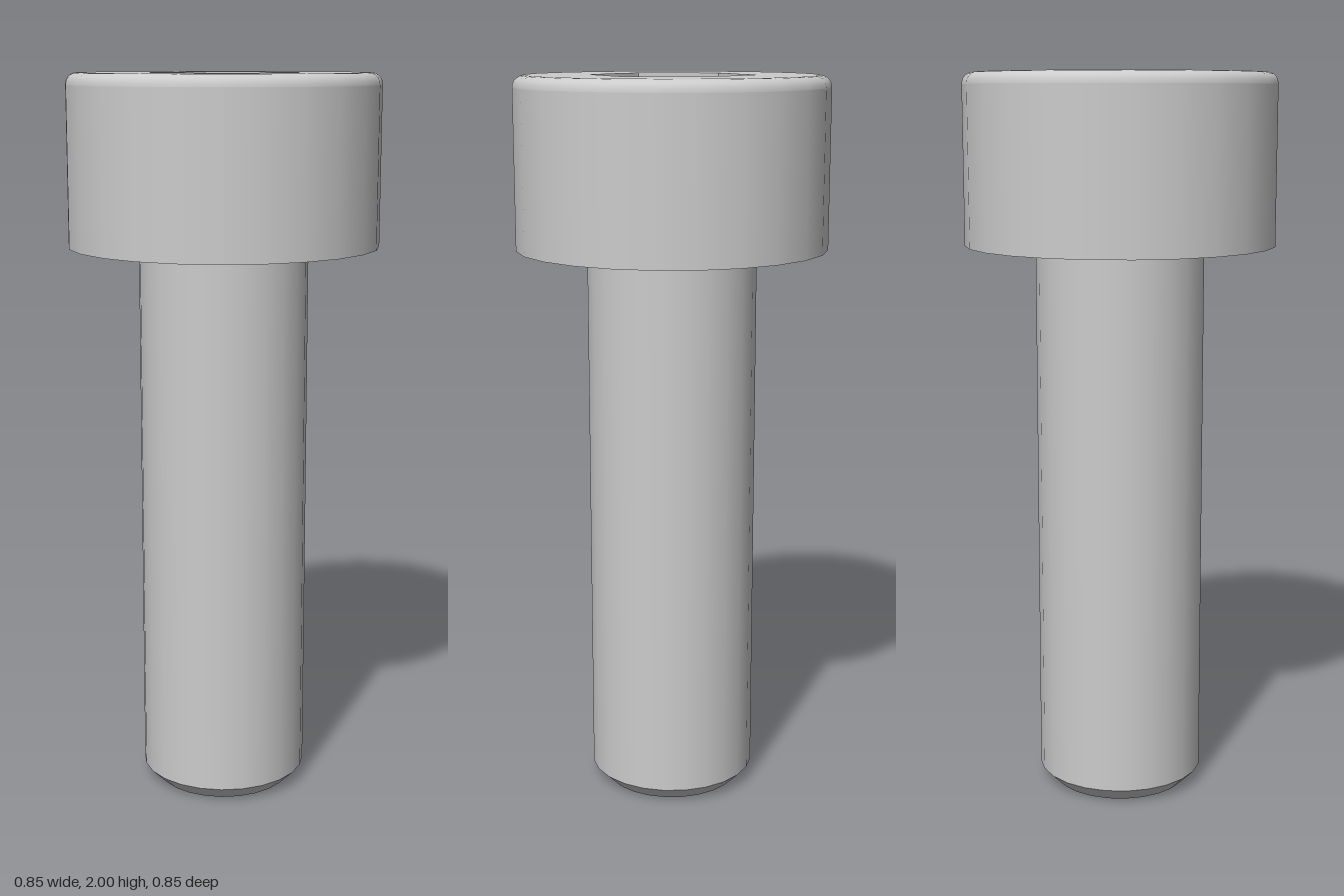
import * as THREE from 'three';

const SIDES = 24;
const HEAD_R = 0.423, SHANK_R = 0.231, HEX_R = 0.222;
const HEAD_Y = 1.54, TOP_Y = 2, FILLET = 0.031, CHAMFER = 0.042;

// Surface of revolution; each profile section is smooth, edges between sections stay sharp
function turned(name, points, material) {
  const profile = points.map(([r, y]) => new THREE.Vector2(r, y));
  const mesh = new THREE.Mesh(new THREE.LatheGeometry(profile, SIDES), material);
  mesh.name = name;
  return mesh;
}

// Points of a regular polygon with the first corner on the z axis
function polygon(radius, sides) {
  return Array.from({ length: sides }, (_, i) => {
    const a = (i / sides) * Math.PI * 2;
    return new THREE.Vector2(Math.sin(a) * radius, Math.cos(a) * radius);
  });
}

function meshFrom(name, positions, indices, material) {
  const geometry = new THREE.BufferGeometry();
  geometry.setAttribute('position', new THREE.Float32BufferAttribute(positions, 3));
  if (indices) geometry.setIndex(indices);
  geometry.computeVertexNormals();
  const mesh = new THREE.Mesh(geometry, material);
  mesh.name = name;
  return mesh;
}

// Hexagonal recess: flat walls and a conical floor
function makeSocket(material) {
  const group = new THREE.Group();
  group.name = 'hexSocket';
  const corners = polygon(HEX_R, 6), rim = [], steps = 4;
  const floorY = (r) => 1.8 - (HEX_R - r) * Math.tan(Math.PI / 6);
  for (let i = 0; i < 6; i++) {
    for (let s = 0; s < steps; s++) {
      const p = corners[i].clone().lerp(corners[(i + 1) % 6], s / steps);
      rim.push([p.x, floorY(p.length()), p.y]);
    }
  }
  const walls = [], floor = [0, floorY(0), 0], faces = [];
  rim.forEach((p, i) => {
    const j = (i + 1) % rim.length, q = rim[j];
    const pTop = [p[0], TOP_Y, p[2]], qTop = [q[0], TOP_Y, q[2]];
    walls.push(...q, ...p, ...pTop, ...q, ...pTop, ...qTop);
    floor.push(...p);
    faces.push(0, i + 1, j + 1);
  });
  group.add(meshFrom('socketWalls', walls, null, material));
  group.add(meshFrom('socketFloor', floor, faces, material));
  return group;
}

export function createModel() {
  const steel = new THREE.MeshStandardMaterial({ color: 0xcccccc });
  steel.name = 'steel grey';
  const model = new THREE.Group();
  model.name = 'socketHeadScrew';

  // Shank with chamfered tip
  const tipR = SHANK_R - CHAMFER;
  model.add(
    turned('shankTip', [[0, 0], [tipR, 0]], steel),
    turned('shankChamfer', [[tipR, 0], [SHANK_R, CHAMFER]], steel),
    turned('shank', [[SHANK_R, CHAMFER], [SHANK_R, HEAD_Y]], steel),
  );

  // Head: underside, wall with rounded upper edge
  const wall = [[HEAD_R, HEAD_Y], [HEAD_R, TOP_Y - FILLET - 0.002]];
  for (let i = 0; i <= 5; i++) {
    const a = (i / 5) * Math.PI / 2;
    wall.push([HEAD_R - FILLET + FILLET * Math.cos(a), TOP_Y - FILLET + FILLET * Math.sin(a)]);
  }
  model.add(
    turned('headUnderside', [[SHANK_R, HEAD_Y], [HEAD_R, HEAD_Y]], steel),
    turned('headWall', wall, steel),
  );

  // Flat top with hexagonal opening
  const face = new THREE.Shape(polygon(HEAD_R - FILLET, SIDES));
  face.holes.push(new THREE.Path(polygon(HEX_R, 6)));
  const top = new THREE.Mesh(new THREE.ShapeGeometry(face).rotateX(-Math.PI / 2), steel);
  top.name = 'headTop';
  top.position.y = TOP_Y;
  model.add(top, makeSocket(steel));

  return model;
}
